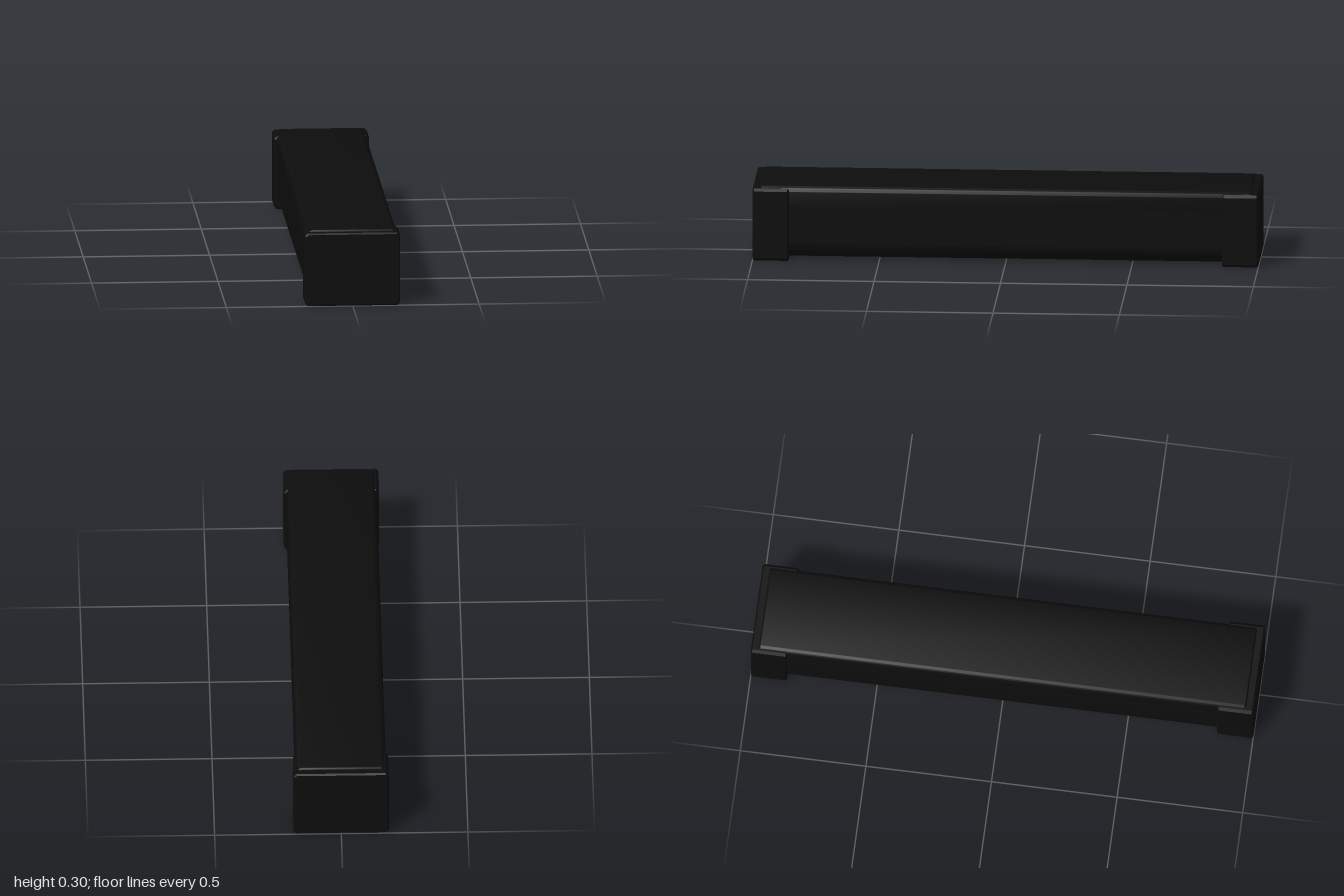
import * as THREE from 'three';
import { toCreasedNormals } from 'three/addons/utils/BufferGeometryUtils.js';

// Cross-section with separate rounding at the bottom and top corners
function section(w, y0, y1, rb, rt) {
  const s = new THREE.Shape();
  s.moveTo(-w + rb, y0);
  s.lineTo(w - rb, y0);
  if (rb) s.absarc(w - rb, y0 + rb, rb, -Math.PI / 2, 0);
  s.lineTo(w, y1 - rt);
  if (rt) s.absarc(w - rt, y1 - rt, rt, 0, Math.PI / 2);
  s.lineTo(-w + rt, y1);
  if (rt) s.absarc(-w + rt, y1 - rt, rt, Math.PI / 2, Math.PI);
  s.lineTo(-w, y0 + rb);
  if (rb) s.absarc(-w + rb, y0 + rb, rb, Math.PI, Math.PI * 1.5);
  return s;
}

// Extrusion centred on z, with bevelled ends
function bar(shape, length, bevel, segments, crease) {
  const g = new THREE.ExtrudeGeometry(shape, {
    depth: length - 2 * bevel, curveSegments: 10,
    bevelEnabled: bevel > 0, bevelThickness: bevel, bevelSize: bevel,
    bevelOffset: -bevel, bevelSegments: segments,
  });
  g.translate(0, 0, -(length - 2 * bevel) / 2);
  return toCreasedNormals(g, crease);
}

export function createModel() {
  const group = new THREE.Group();
  const black = new THREE.MeshStandardMaterial({ color: 0x0d0d0d });
  black.name = 'black';
  const add = (name, geometry, z = 0) => {
    const mesh = new THREE.Mesh(geometry, black);
    mesh.name = name;
    mesh.position.z = z;
    group.add(mesh);
  };

  // Long lower case with a rounded underside
  add('lowerCase', bar(section(0.177, 0.008, 0.214, 0.065, 0), 1.93, 0, 1, 0.6));

  // Recessed strip forming the seam
  add('seam', bar(section(0.172, 0.205, 0.225, 0, 0), 1.9, 0, 1, 0.6));

  // Lid with softly rounded long edges and ends
  add('lid', bar(section(0.178, 0.219, 0.301, 0, 0.026), 1.94, 0.008, 3, 0.7));

  // Chamfered end caps
  const w = 0.188, h = 0.293, c = 0.011;
  const capShape = new THREE.Shape([
    [-w + c, 0], [w - c, 0], [w, c], [w, h - c],
    [w - c, h], [-w + c, h], [-w, h - c], [-w, c],
  ].map(([x, y]) => new THREE.Vector2(x, y)));
  for (const [name, side] of [['frontCap', 1], ['backCap', -1]]) {
    add(name, bar(capShape, 0.144, 0.006, 1, 0.3), side * 0.928);
  }
  return group;
}
